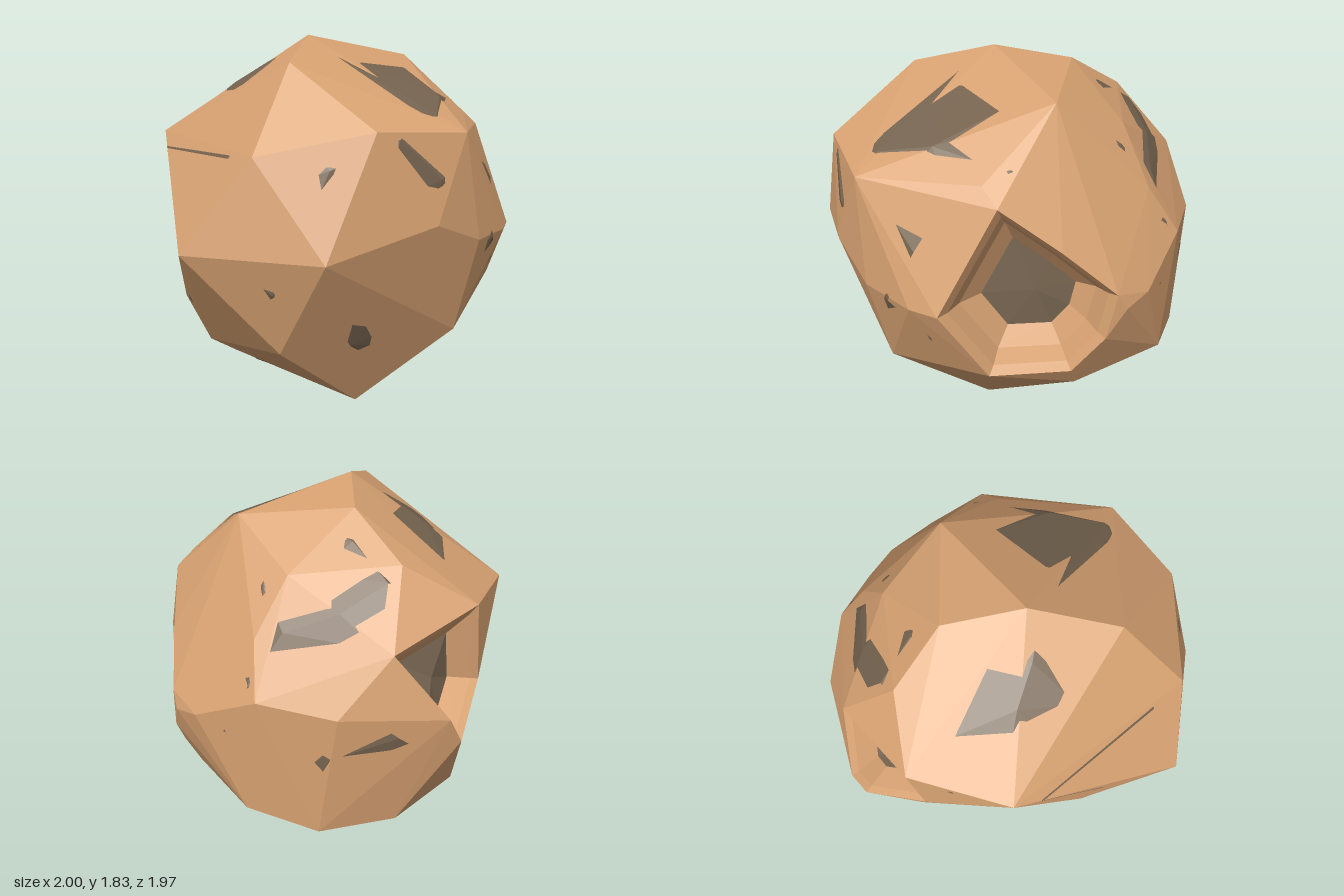
import * as THREE from 'three';
import { ConvexGeometry } from 'three/addons/geometries/ConvexGeometry.js';

const V = (x, y, z) => new THREE.Vector3(x, y, z);
const CENTRE = V(0, 0.92, 0);

// main corners of the rock
const CORNERS = [
  // crown
  [-0.1, 1.83, 0.06], [0.54, 1.72, 0.06], [-0.41, 1.71, 0.38], [0.1, 1.77, -0.28], [0.05, 1.58, -0.6], [0.5, 1.54, -0.34],
  // front
  [-0.28, 1.43, 0.88], [0.21, 1.4, 0.92], [0.62, 1.43, 0.47], [-0.55, 0.88, 0.89], [0, 1, 0.98],
  [0.3, 0.88, 0.94], [0.58, 0.87, 0.83], [0.26, 0.4, 0.83],
  // right side
  [1, 0.85, -0.08], [0.96, 0.88, -0.22], [0.84, 0.37, 0.09], [0.82, 0.4, -0.43], [0.78, 1.04, -0.51], [0.7, 1.28, -0.37],
  // back
  [0.51, 1, -0.78], [0.57, 0.33, -0.7], [0.2, 0.33, -0.82], [-0.2, 0.38, -0.76], [-0.35, 1.38, -0.68],
  // left side
  [-1, 0.88, 0.39], [-0.72, 1.32, 0.57], [-0.68, 1.32, -0.48], [-0.77, 1.03, -0.1], [-0.78, 0.52, -0.05],
  [-0.72, 0.32, 0.1], [-0.62, 0.4, 0.62],
  // base
  [-0.15, 0.02, 0.57], [0, 0, 0.08], [-0.16, 0.03, -0.43], [0.41, 0.09, 0.36], [-0.46, 0.11, -0.12],
].map((a) => V(...a));

// crater from its rim, counter-clockwise from outside; rings are [scale, depth] steps down to the floor
function crater(rim, rings) {
  const c = rim.reduce((sum, p) => sum.add(p), V(0, 0, 0)).divideScalar(rim.length);
  const n = V(0, 0, 0);
  rim.forEach((p, i) => n.add(p.clone().sub(c).cross(rim[(i + 1) % rim.length].clone().sub(c))));
  n.normalize();
  const radius = Math.max(...rim.map((p) => p.distanceTo(c)));
  const loops = rings.map(([s, d]) => rim.map((p) => c.clone().lerp(p, s).addScaledVector(n, -d)));
  return { rim, c, radius, loops: [rim, ...loops], floor: c.clone().addScaledVector(n, -rings.at(-1)[1]) };
}

const CRATERS = [
  crater([
    V(0.73, 1.36, 0.45), V(0.7, 0.87, 0.74), V(0.79, 0.53, 0.53), V(0.9, 0.5, 0.15),
    V(0.98, 0.7, 0.02), V(0.99, 0.93, -0.03), V(0.87, 1.15, 0.2),
  ], [[0.9, 0.04], [0.78, 0.12], [0.55, 0.2]]),
  crater([
    V(0.24, 1.27, -0.82), V(0.03, 0.95, -0.985), V(-0.05, 0.8, -0.98), V(-0.32, 0.95, -0.77), V(-0.26, 1.38, -0.79),
  ], [[0.88, 0.03], [0.6, 0.13]]),
];

// corner triples of a geometry without an index
function triangles(geometry) {
  const position = geometry.getAttribute('position');
  return Array.from({ length: position.count / 3 }, (_, f) =>
    [0, 1, 2].map((i) => V().fromBufferAttribute(position, 3 * f + i)));
}

// point of the rock's hull in a given direction from its centre
function surfacePoint(dir, planes) {
  let reach = Infinity;
  for (const plane of planes) {
    const slope = plane.normal.dot(dir);
    if (slope > 1e-6) reach = Math.min(reach, -plane.distanceToPoint(CENTRE) / slope);
  }
  return dir.clone().multiplyScalar(reach);
}

// darker rock inside the first, breaking through its facets in angular patches
function darkRock(hull) {
  const planes = hull.map((t) => new THREE.Plane().setFromCoplanarPoints(...t));
  const count = 150, points = [];
  for (let i = 0; i < count; i++) {
    const y = 1 - (2 * i + 1) / count, ring = Math.sqrt(1 - y * y), t = i * 2.39996;
    const scale = 0.98 + 0.03 * ((i * i * 0.618) % 1);
    const dir = V(ring * Math.cos(t), y, ring * Math.sin(t));
    points.push(surfacePoint(dir, planes).multiplyScalar(scale).add(CENTRE));
  }
  // leave the craters open
  return triangles(new ConvexGeometry(points)).filter((t) => {
    const mid = t[0].clone().add(t[1]).add(t[2]).divideScalar(3);
    return CRATERS.every((k) => [...t, mid].every((p) => p.distanceTo(k.c) > k.radius));
  });
}

function rockMesh(name, faces, color) {
  const geometry = new THREE.BufferGeometry().setFromPoints(faces.flat());
  geometry.computeVertexNormals();
  const mesh = new THREE.Mesh(geometry, new THREE.MeshStandardMaterial({ color, flatShading: true }));
  mesh.name = name;
  return mesh;
}

export function createModel() {
  const hull = triangles(new ConvexGeometry([...CORNERS, ...CRATERS.flatMap((k) => k.rim)]));
  const dark = darkRock(hull);

  // outer facets, without those that would close a crater
  const onRim = (p, k) => k.rim.some((q) => q.distanceTo(p) < 1e-5);
  const light = hull.filter((t) => !CRATERS.some((k) => t.every((p) => onRim(p, k))));

  // crater walls and floors
  for (const { loops, floor } of CRATERS) {
    const size = loops[0].length;
    for (let i = 0; i < size; i++) {
      const j = (i + 1) % size;
      for (let r = 0; r + 1 < loops.length; r++) {
        const outer = loops[r], inner = loops[r + 1];
        light.push([outer[i], outer[j], inner[j]], [outer[i], inner[j], inner[i]]);
      }
      dark.push([loops.at(-1)[i], loops.at(-1)[j], floor]);
    }
  }

  const rock = new THREE.Group();
  rock.name = 'crateredRock';
  rock.add(rockMesh('lightStone', light, 0xd8a272));
  rock.add(rockMesh('darkStone', dark, 0x766450));
  return rock;
}
